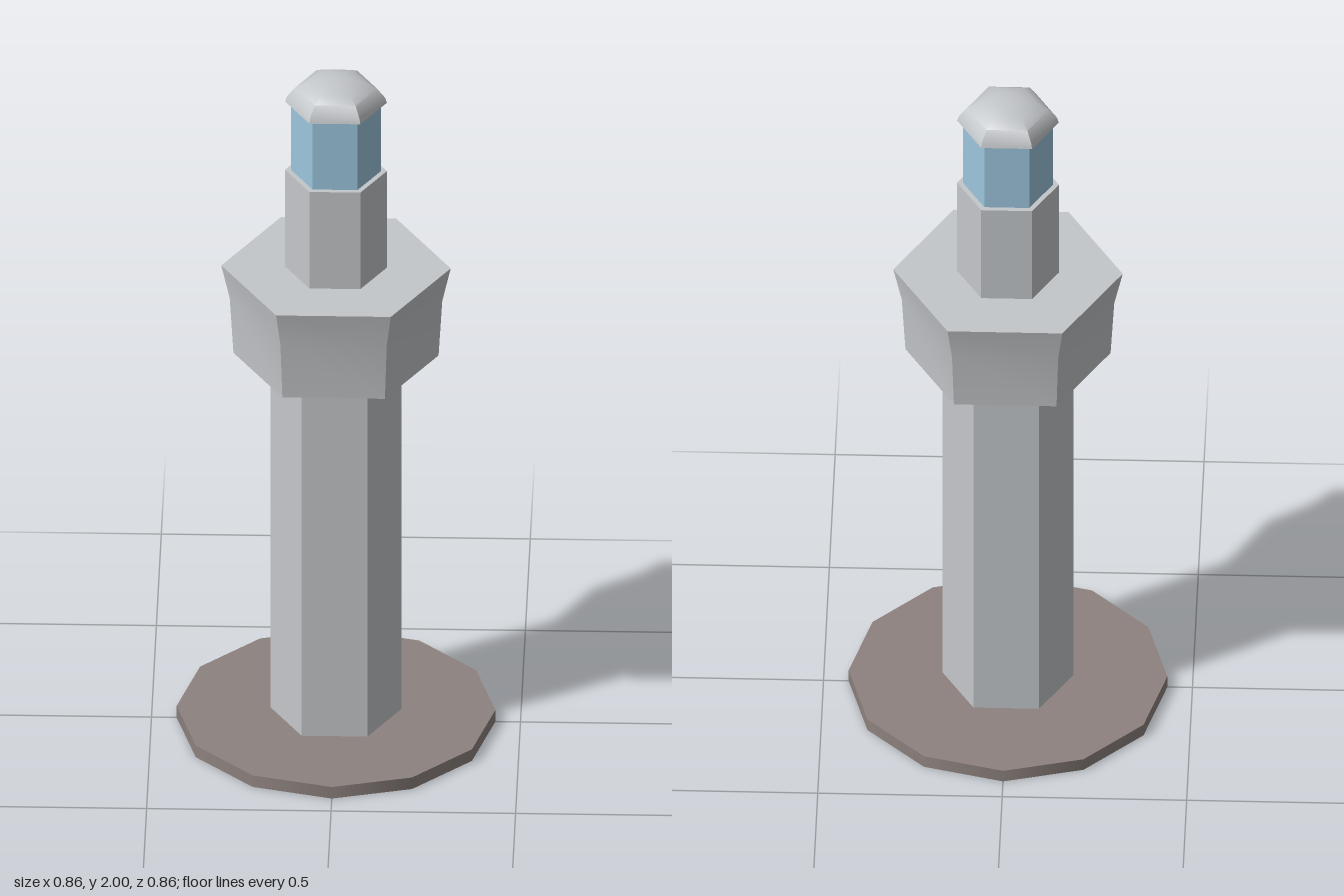
import * as THREE from 'three';
import { toCreasedNormals } from 'three/addons/utils/BufferGeometryUtils.js';

const mat = (name, color) => {
  const m = new THREE.MeshStandardMaterial({ color });
  m.name = name;
  return m;
};

export function createModel() {
  const model = new THREE.Group();
  model.name = 'lighthouse';
  const stone = mat('pale grey', 0xc4c7ca);
  const glass = mat('light blue', 0x9cc6de);
  const ground = mat('brown grey', 0x8d827e);

  const add = (name, geometry, material) => {
    const mesh = new THREE.Mesh(geometry, material);
    mesh.name = name;
    model.add(mesh);
  };

  // Six-sided solid with corners on the x axis, from [radius, height] points going up
  const hexagon = (name, profile, material) => {
    const points = profile.map(([r, y]) => new THREE.Vector2(r, y));
    const geometry = new THREE.LatheGeometry(points, 6, Math.PI / 2);
    add(name, toCreasedNormals(geometry, 0.6), material);
  };
  const prism = (name, r, y0, y1, material) =>
    hexagon(name, [[0, y0], [r, y0], [r, y1], [0, y1]], material);

  // Twelve-sided footing with softly shaded rim
  const footing = new THREE.CylinderGeometry(0.432, 0.432, 0.036, 12);
  footing.translate(0, 0.018, 0);
  add('footing', footing, ground);

  // Tower
  prism('towerShaft', 0.178, 0.036, 1.14, stone);
  hexagon('gallery', [[0, 1.14], [0.278, 1.14], [0.288, 1.31], [0.311, 1.412], [0, 1.412]], stone);
  prism('upperShaft', 0.138, 1.412, 1.713, stone);

  // Lantern room and domed cap
  prism('lanternGlass', 0.122, 1.713, 1.927, glass);
  hexagon('domeCap', [
    [0, 1.926], [0.138, 1.926], [0.133, 1.942], [0.111, 1.97],
    [0.08, 1.988], [0.042, 1.997], [0, 2],
  ], stone);

  return model;
}
